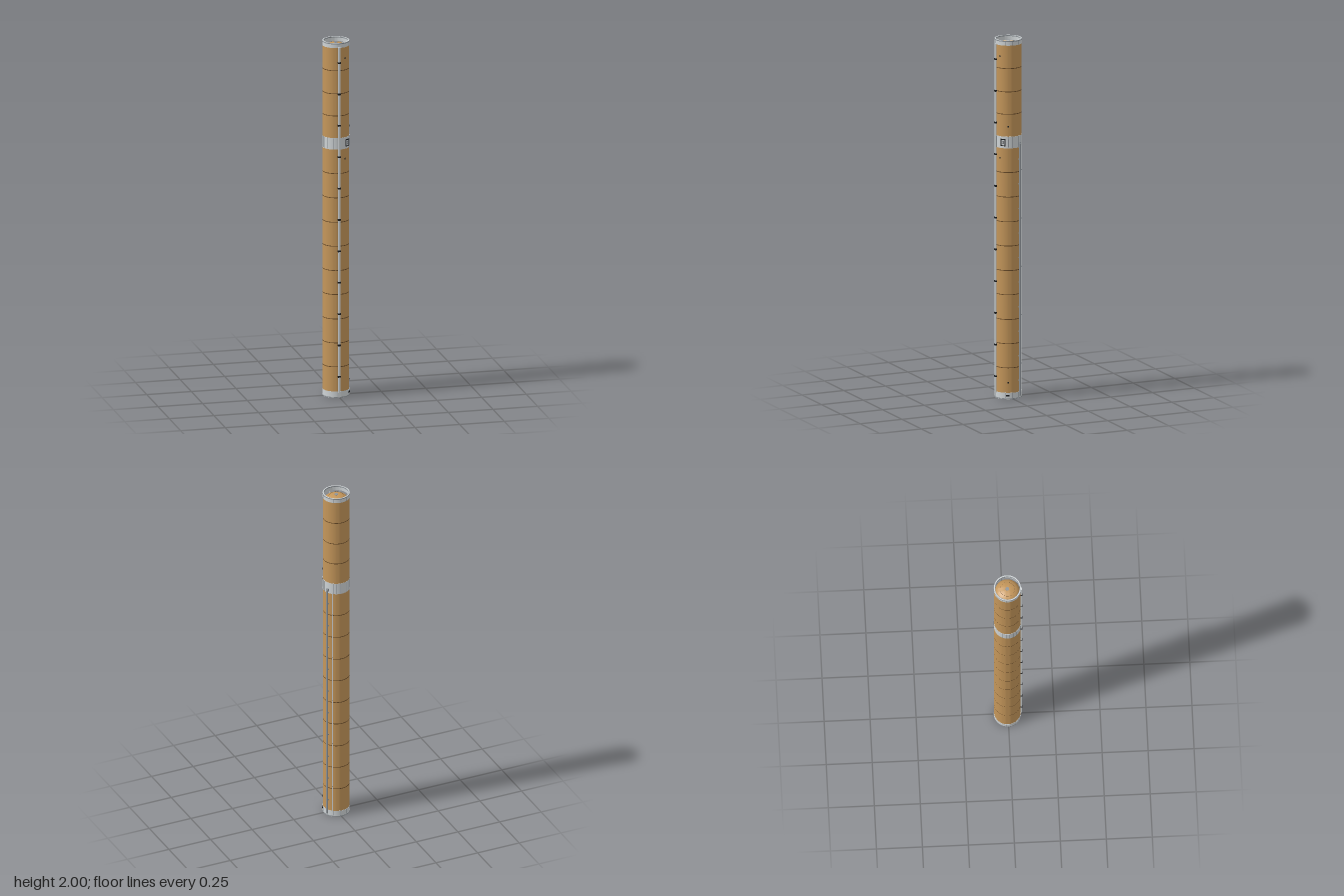
import * as THREE from 'three';
import { toCreasedNormals } from 'three/addons/utils/BufferGeometryUtils.js';

const material = (name, color) => {
  const m = new THREE.MeshStandardMaterial({ color });
  m.name = name;
  return m;
};

export function createModel() {
  const tan = material('tan foam', 0xc4965a);
  const light = material('light grey metal', 0xcfd4d6);
  const grey = material('mid grey metal', 0x8f959a);
  const seam = material('seam brown', 0x6b4c28);
  const dark = material('dark fittings', 0x1c1e20);

  const model = new THREE.Group();
  model.name = 'rocketCore';
  // the tray and feed line stick out, so the barrel axis is slightly off centre
  const core = new THREE.Group();
  core.name = 'core';
  core.position.set(-0.003, 0, -0.004);
  model.add(core);

  const R = 0.0725;
  const deg = Math.PI / 180;

  function add(name, geometry, mat, parent = core) {
    const mesh = new THREE.Mesh(geometry, mat);
    mesh.name = name;
    parent.add(mesh);
    return mesh;
  }
  function lathe(name, points, mat) {
    const g = new THREE.LatheGeometry(points.map(p => new THREE.Vector2(p[0], p[1])), 64);
    return add(name, toCreasedNormals(g, 0.6), mat);
  }
  // closed hoop with wall thickness
  const hoop = (name, r0, r1, y0, y1, mat) =>
    lathe(name, [[r1, y0], [r1, y1], [r0, y1], [r0, y0], [r1, y0]], mat);
  // box fixed to the barrel at an angle measured from the front toward +x
  function block(name, angle, r, y, w, h, d, mat) {
    const a = angle * deg;
    const b = add(name, new THREE.BoxGeometry(w, h, d), mat);
    b.position.set(Math.sin(a) * r, y, Math.cos(a) * r);
    b.rotation.y = a;
    return b;
  }
  function pipe(name, angle, r, radius, y0, y1, mat) {
    const p = add(name, new THREE.CapsuleGeometry(radius, y1 - y0 - 2 * radius, 6, 16), mat);
    p.position.set(Math.sin(angle * deg) * r, (y0 + y1) / 2, Math.cos(angle * deg) * r);
    return p;
  }

  // tank barrels
  lathe('lowerTank', [[R, 0.034], [R, 1.402]], tan);
  lathe('upperTank', [[R, 1.463], [R, 1.975]], tan);

  // domed ends, recessed in the end rings
  const arc = Array.from({ length: 13 }, (_, i) => i / 12 * Math.PI / 2);
  lathe('topDome', arc.map(t => [0.068 * Math.cos(t), 1.948 + 0.038 * Math.sin(t)]), tan);
  lathe('bottomDome', arc.map(t => [0.068 * Math.sin(t), 0.052 - 0.038 * Math.cos(t)]), tan);
  for (const [name, y] of [['topCap', 1.986], ['bottomCap', 0.014]])
    add(name, new THREE.CylinderGeometry(0.01, 0.01, 0.004, 24), grey).position.y = y;

  // dashed weld circle on the top dome
  for (let i = 0; i < 36; i++) {
    const a = i * 10 * deg;
    const dash = add('domeWeld', new THREE.BoxGeometry(0.005, 0.001, 0.001), seam);
    dash.position.set(Math.sin(a) * 0.04, 1.979, Math.cos(a) * 0.04);
    dash.rotation.y = a;
  }

  // end rings and the band between the tanks
  hoop('bottomRing', 0.068, 0.0735, 0, 0.036, light);
  hoop('bandBetweenTanks', 0.069, 0.0737, 1.4, 1.465, light);
  hoop('topRing', 0.068, 0.0735, 1.973, 2, light);
  hoop('topRingLip', 0.066, 0.0741, 1.994, 1.999, grey);
  hoop('bottomRingLip', 0.066, 0.0741, 0.001, 0.005, grey);

  // stiffeners on the band and rings
  for (let i = 0; i < 24; i++) {
    const a = i * 15 + 7.5;
    if (Math.abs(a - 43) > 14) block('bandRib', a, 0.0735, 1.4325, 0.0015, 0.062, 0.002, grey);
    if (i % 2) {
      block('bottomRingRib', a, 0.0733, 0.02, 0.001, 0.028, 0.001, grey);
      block('topRingRib', a, 0.0733, 1.984, 0.001, 0.02, 0.001, grey);
    }
  }

  // circumferential seams
  for (const y of [0.175, 0.31, 0.445, 0.583, 0.718, 0.855, 0.99, 1.128, 1.265, 1.59, 1.715, 1.845])
    lathe('seam', [[R + 0.0003, y - 0.002], [R + 0.0003, y + 0.002]], seam);

  // cable tray down the front with its dark clamps
  block('cableTray', 0, 0.0755, 1.003, 0.013, 1.95, 0.009, light);
  for (let i = 0; i < 11; i++)
    block('trayClamp', 0, 0.0765, 0.12 + i * 0.177, 0.016, 0.009, 0.0095, dark);

  // feed line outside the lower tank, with supports
  pipe('feedLine', 117.5, 0.081, 0.0058, 0.015, 1.425, grey);
  for (let i = 0; i < 10; i++)
    block('feedLineSupport', 117.5, 0.0755, 0.1 + i * 0.137, 0.009, 0.006, 0.008, grey);
  block('feedLineElbow', 117.5, 0.0755, 1.42, 0.012, 0.016, 0.012, grey);

  // thin pressure line beside the feed line
  pipe('pressureLine', 139, 0.0737, 0.0015, 0.03, 1.405, light);
  for (let i = 0; i < 5; i++)
    block('pressureLineClip', 139, 0.0738, 0.19 + i * 0.27, 0.005, 0.005, 0.004, grey);

  // access door: dark frame and light panel
  block('doorFrame', 43, 0.0735, 1.432, 0.027, 0.04, 0.0055, dark);
  block('doorPanel', 43, 0.0742, 1.432, 0.018, 0.03, 0.005, light);
  block('doorHandle', 43, 0.0747, 1.432, 0.005, 0.016, 0.0045, dark);
  block('doorHandleInset', 43, 0.075, 1.432, 0.003, 0.012, 0.0045, grey);

  // small vents and sensors
  for (const [a, y] of [[28, 1.912], [65, 1.52], [28, 1.345], [65, 0.092]])
    block('sensor', a, 0.0733, y, 0.007, 0.008, 0.004, dark);
  for (const a of [58, 63, 69])
    block('ringConnector', a, 0.0742, 0.02, 0.006, 0.009, 0.004, dark);
  block('bandBox', 66, 0.0745, 1.43, 0.007, 0.04, 0.004, grey);

  return model;
}
